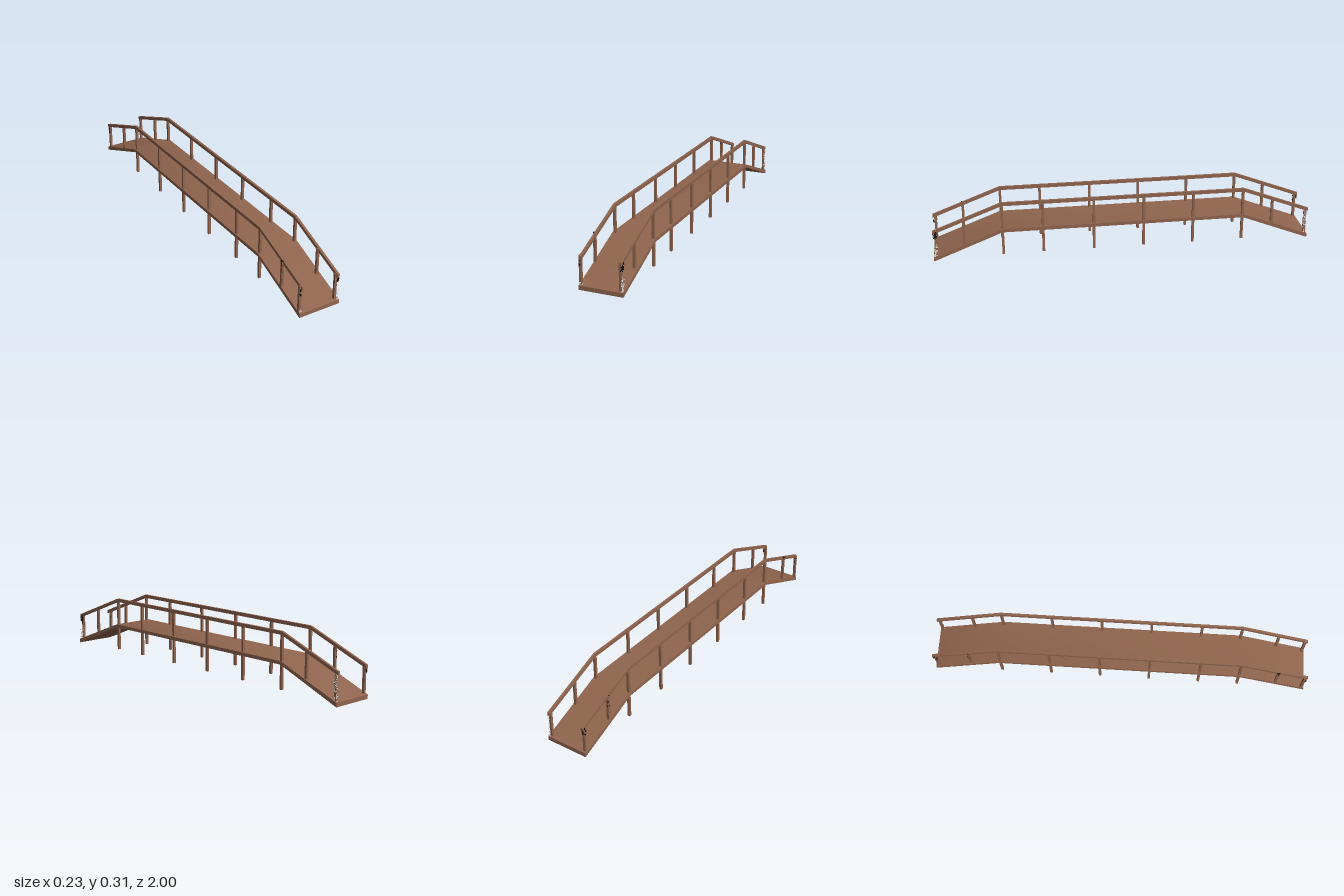
import * as THREE from 'three';
import { mergeGeometries, toCreasedNormals } from 'three/addons/utils/BufferGeometryUtils.js';

function material(name, color) {
  const result = new THREE.MeshStandardMaterial({ color });
  result.name = name;
  return result;
}

export function createModel() {
  const model = new THREE.Group();
  model.name = 'footbridge';
  const wood = material('brown wood', 0x90654e);
  const white = material('white flecks', 0xe6e6e6);
  const black = material('black flecks', 0x0a0a0a);

  function add(name, geometry, mat) {
    const mesh = new THREE.Mesh(geometry, mat);
    mesh.name = name;
    model.add(mesh);
    return mesh;
  }

  // Beam running the length of the bridge: ramp up, level span, ramp down
  const END = 1, BEND = 0.64;
  function beam(name, x, width, endY, midY, thick, endThick = thick) {
    const shape = new THREE.Shape([
      [-END, endY - endThick], [-BEND, midY - thick], [BEND, midY - thick], [END, endY - endThick],
      [END, endY], [BEND, midY], [-BEND, midY], [-END, endY],
    ].map(([z, y]) => new THREE.Vector2(z, y)));
    const geometry = new THREE.ExtrudeGeometry(shape, { depth: width, bevelEnabled: false });
    geometry.translate(0, 0, -width / 2).rotateY(-Math.PI / 2);
    // Smooth shading over the gentle bends, sharp corners elsewhere
    add(name, toCreasedNormals(geometry, 0.6), wood).position.x = x;
  }

  function post(name, x, z, bottom, top) {
    add(name, new THREE.BoxGeometry(0.013, top - bottom, 0.013), wood)
      .position.set(x, (bottom + top) / 2, z);
  }

  // Walkway
  beam('deck', 0, 0.23, 0.022, 0.161, 0.018, 0.022);

  for (const side of [-1, 1]) {
    const label = side > 0 ? 'left' : 'right';
    const x = side * 0.1025;
    beam(label + 'Handrail', x, 0.013, 0.17, 0.308, 0.018);

    // Tall posts pass through the deck and support the level span
    for (const z of [0.638, 0.427, 0.16, -0.105, -0.37, -0.638]) {
      post(label + 'SupportPost', x, z, 0.015, 0.3);
    }
    // Short posts stand on the ramps; those in front sit slightly to one side
    for (const z of [0.985, 0.838, -0.8, -0.985]) {
      const t = (END - Math.abs(z)) / (END - BEND);
      const rampX = z > 0 ? x - 0.0065 : x;
      post(label + 'RampPost', rampX, z, 0.012 + t * 0.139, 0.165 + t * 0.138);
    }
  }

  // Weathering: small flecks scattered over the ramp posts, denser near the start height
  let seed = 7;
  const random = () => (seed = (seed * 16807) % 2147483647) / 2147483647;
  function flecks(name, mat, count, [x0, x1], [y0, y1], [z0, z1]) {
    const pieces = [];
    for (let i = 0; i < count; i++) {
      const fleck = new THREE.BoxGeometry(0.004, 0.004, 0.004);
      fleck.translate(
        THREE.MathUtils.lerp(x0, x1, random()),
        THREE.MathUtils.lerp(y0, y1, random() ** 1.5),
        THREE.MathUtils.lerp(z0, z1, random()));
      pieces.push(fleck);
    }
    add(name, mergeGeometries(pieces), mat);
  }
  flecks('leftFrontPaleFlecks', white, 45, [0.102, 0.112], [0.008, 0.09], [0.978, 0.998]);
  flecks('leftBackPaleFlecks', white, 90, [0.105, 0.11], [0.01, 0.163], [-0.998, -0.977]);
  flecks('rightFrontPaleFlecks', white, 15, [-0.113, -0.1], [0.008, 0.04], [0.978, 0.998]);
  flecks('leftFrontDarkFlecks', black, 40, [0.1, 0.11], [0.165, 0.12], [0.978, 0.998]);
  flecks('rightFrontDarkFlecks', black, 25, [-0.113, -0.108], [0.165, 0.12], [0.978, 0.998]);
  flecks('rightBackDarkFlecks', black, 40, [-0.11, -0.1], [0.165, 0.12], [-0.998, -0.978]);
  flecks('rightFrontMiddleDarkFlecks', black, 40, [-0.114, -0.109], [0.23, 0.12], [0.834, 0.845]);
  flecks('rightBackMiddleDarkFlecks', black, 20, [-0.109, -0.103], [0.24, 0.17], [-0.807, -0.793]);
  return model;
}
